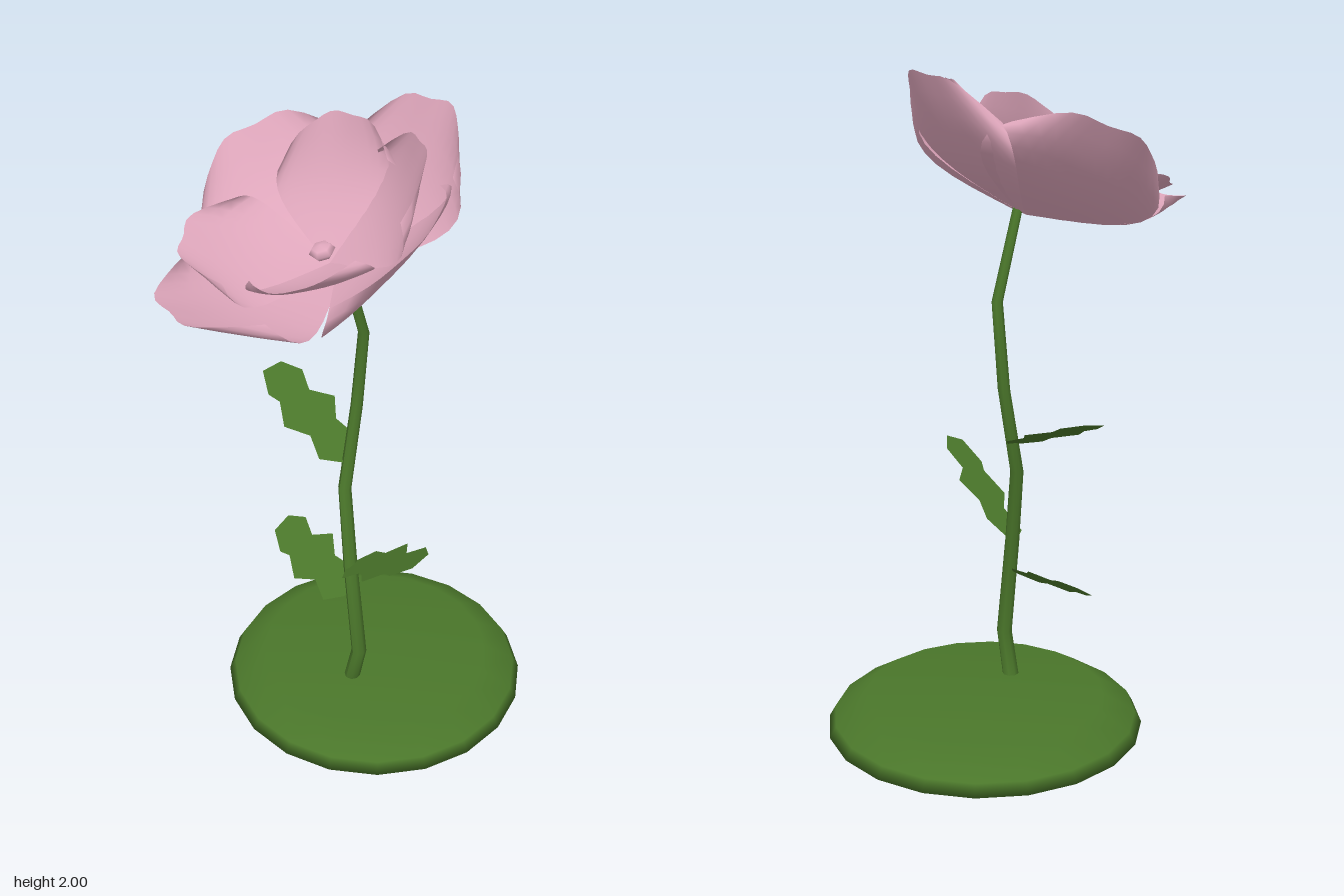
import * as THREE from 'three';

const V = (x, y, z) => new THREE.Vector3(x, y, z);
const green = new THREE.MeshStandardMaterial({ color: 0x4a762a });
const leafGreen = new THREE.MeshStandardMaterial({ color: 0x4a762a, side: THREE.DoubleSide });
const pink = new THREE.MeshStandardMaterial({ color: 0xdea6bb, side: THREE.DoubleSide });

function part(name, geometry, material) {
  const mesh = new THREE.Mesh(geometry, material);
  mesh.name = name;
  return mesh;
}

// Low round base with a soft bevelled rim
function makeBase() {
  const profile = [[0, 0], [0.49, 0], [0.47, 0.035], [0.37, 0.095], [0, 0.095]];
  const geo = new THREE.LatheGeometry(profile.map(p => new THREE.Vector2(...p)), 20);
  const mesh = part('base', geo, green);
  mesh.position.z = -0.09;
  return mesh;
}

// Crooked tapering stem: each ring of a cylinder is moved to a path point
function makeStem() {
  const path = [
    V(0.06, 0.08, 0.05), V(0.10, 0.23, 0.05), V(0.055, 0.55, 0.05), V(-0.015, 0.8, 0.02),
    V(-0.035, 1.07, -0.04), V(-0.015, 1.33, -0.05), V(0.01, 1.6, 0.04),
  ];
  const n = path.length - 1;
  const geo = new THREE.CylinderGeometry(1, 1, n, 8, n);
  const pos = geo.attributes.position;
  for (let i = 0; i < pos.count; i++) {
    const row = Math.round(pos.getY(i) + n / 2);
    const r = 0.026 - 0.011 * row / n;
    const c = path[row];
    pos.setXYZ(i, c.x + pos.getX(i) * r, c.y, c.z + pos.getZ(i) * r);
  }
  geo.computeVertexNormals();
  return part('stem', geo, green);
}

// Flat jagged leaf with a blunt end: x runs along the leaf, y across it
const leafOutline = [
  [0, 0.15], [0.13, 0.75], [0.33, 0.5], [0.5, 1], [0.7, 0.6], [0.8, 0.75], [1, 0.4],
  [1, -0.3], [0.85, -0.7], [0.67, -0.45], [0.52, -1], [0.35, -0.55], [0.17, -0.7], [0, -0.15],
].map(p => new THREE.Vector2(...p));

function makeLeaf(name, start, tip, across, halfWidth) {
  const along = tip.clone().sub(start);
  const side = across.clone().normalize().multiplyScalar(halfWidth);
  const normal = along.clone().cross(side).normalize();
  const geo = new THREE.ShapeGeometry(new THREE.Shape(leafOutline));
  geo.applyMatrix4(new THREE.Matrix4().makeBasis(along, side, normal).setPosition(start));
  geo.computeVertexNormals();
  return part(name, geo, leafGreen);
}

// Cupped round petal from its base to its tip, facing the tilted axis of the flower
const axis = V(0, 0.91, 0.42);

function makePetal({ name, base, tip, w, sag, curl, seed }) {
  const d = tip.clone().sub(base);
  const L = d.length();
  d.normalize();
  const n = axis.clone().addScaledVector(d, -axis.dot(d)).normalize();
  const s = d.clone().cross(n);
  const geo = new THREE.PlaneGeometry(2, 1, 14, 9);
  const pos = geo.attributes.position;
  for (let i = 0; i < pos.count; i++) {
    const v = pos.getX(i), u = pos.getY(i) + 0.5;
    const ripple = 0.016 * u ** 4 * Math.sin(v * 8 + seed);
    const along = L * (u - 0.33 * u * u * Math.abs(v) ** 2.8 + ripple);
    const wide = w * v * (0.06 + 0.94 * Math.sin(u * 2.2));
    const lift = -sag * Math.sin(Math.PI * u) + curl * v * v * u;
    const p = base.clone().addScaledVector(d, along).addScaledVector(s, wide).addScaledVector(n, lift);
    pos.setXYZ(i, p.x, p.y, p.z);
  }
  geo.computeVertexNormals();
  return part(name, geo, pink);
}

function makeFlower() {
  const flower = new THREE.Group();
  flower.name = 'flower';
  const outer = V(0.005, 1.58, 0.05), inner = V(-0.005, 1.6, 0.075);
  const petals = [
    ['outerBackPetal', outer, V(0.01, 1.99, -0.285), 0.26, 0.05, 0.02],
    ['outerLeftPetal', outer, V(0.405, 1.84, 0.09), 0.28, 0.05, 0.02],
    ['outerRightPetal', outer, V(-0.425, 1.85, 0.07), 0.28, 0.05, 0.02],
    ['outerFrontPetal', outer, V(-0.04, 1.6, 0.575), 0.26, 0.05, 0.03],
    ['innerBackLeftPetal', inner, V(0.175, 1.96, -0.1), 0.2, 0.05, 0.01],
    ['innerBackRightPetal', inner, V(-0.19, 1.935, -0.09), 0.2, 0.05, 0.01],
    ['innerFrontRightPetal', inner, V(-0.25, 1.67, 0.4), 0.21, 0.03, 0.03],
    ['innerFrontLeftPetal', inner, V(0.2, 1.69, 0.345), 0.18, 0.03, 0.03],
  ];
  petals.forEach(([name, base, tip, w, sag, curl], i) =>
    flower.add(makePetal({ name, base, tip, w, sag, curl, seed: i * 1.7 })));

  // Small bud in the middle
  const bud = part('bud', new THREE.SphereGeometry(0.038, 6, 4), pink);
  bud.scale.y = 0.55;
  bud.position.set(-0.02, 1.635, 0.09);
  bud.rotation.x = 0.3;
  flower.add(bud);
  return flower;
}

export function createModel() {
  const model = new THREE.Group();
  model.name = 'flowerOnBase';
  model.add(
    makeBase(),
    makeStem(),
    makeLeaf('upperLeaf', V(-0.02, 0.89, 0), V(-0.41, 1.04, 0.01), V(0, -0.15, 1), 0.1),
    makeLeaf('middleLeaf', V(0.05, 0.55, 0.05), V(0.4, 0.8, 0.05), V(0, -0.4, 1), 0.09),
    makeLeaf('lowerLeaf', V(0.05, 0.44, 0.06), V(-0.31, 0.5, 0.06), V(0, -0.65, 1), 0.095),
    makeFlower(),
  );
  return model;
}
